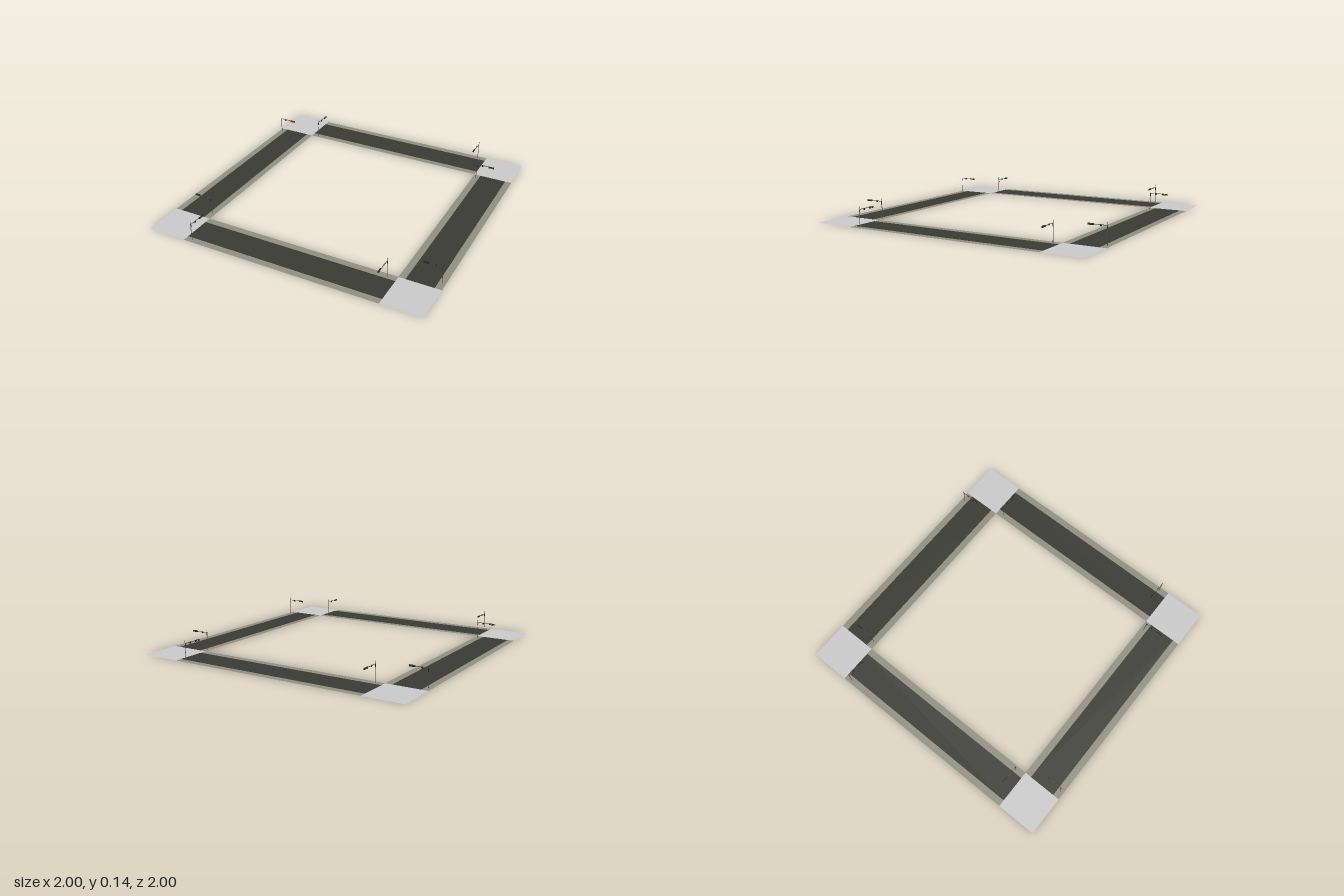
import * as THREE from 'three';

const flat = (name, color) => new THREE.MeshStandardMaterial({ name, color, side: THREE.DoubleSide });

export function createModel() {
  const mats = {
    asphalt: flat('asphalt', 0x3a3a34),
    pavement: flat('pavement', 0x8f9081),
    concrete: flat('concrete', 0xc9c9c9),
    pole: flat('pole metal', 0x4a4a46),
    housing: flat('signal housing', 0x1c1c1a),
    red: flat('red lens', 0xb03024),
    amber: flat('amber lens', 0xc99a2a),
    green: flat('green lens', 0x2f9a4a),
  };
  const add = (parent, name, geo, mat, x = 0, y = 0, z = 0) => {
    const m = new THREE.Mesh(geo, mats[mat]);
    m.name = name;
    m.position.set(x, y, z);
    parent.add(m);
    return m;
  };
  const plane = (w, d) => new THREE.PlaneGeometry(w, d).rotateX(-Math.PI / 2);

  const INNER = 0.714, MID = 0.857, WIDTH = 0.286, ROAD = 0.192;
  const WALK = (WIDTH - ROAD) / 2;

  // Signal mast: pole at the origin, arm along +x, lenses facing +z
  const signal = () => {
    const g = new THREE.Group();
    g.name = 'trafficSignal';
    add(g, 'pole', new THREE.CylinderGeometry(0.0015, 0.002, 0.14, 8), 'pole', 0, 0.07, 0);
    add(g, 'arm', new THREE.BoxGeometry(0.13, 0.003, 0.003), 'pole', 0.065, 0.12, 0);
    add(g, 'controlBox', new THREE.BoxGeometry(0.004, 0.018, 0.005), 'housing', 0.002, 0.108, 0);
    add(g, 'roundSign', new THREE.CylinderGeometry(0.007, 0.007, 0.002, 16).rotateX(Math.PI / 2),
      'housing', 0.045, 0.117, 0.003);
    add(g, 'signalHousing', new THREE.BoxGeometry(0.04, 0.011, 0.006), 'housing', 0.112, 0.118, 0.003);
    ['red', 'amber', 'green'].forEach((c, i) =>
      add(g, c + 'Lens', new THREE.CircleGeometry(0.004, 12), c, 0.1 + i * 0.012, 0.118, 0.0065));
    return g;
  };

  // Road segment running along z, with pavements and two signal masts
  const road = () => {
    const g = new THREE.Group();
    g.name = 'roadSegment';
    add(g, 'roadway', plane(ROAD, INNER * 2), 'asphalt');
    for (const s of [-1, 1]) {
      add(g, 'pavement', plane(WALK, INNER * 2), 'pavement', s * (ROAD + WALK) / 2);
      const mast = signal();
      mast.position.set(s * 0.118, 0, s < 0 ? -0.663 : 0.648);
      mast.rotation.y = s < 0 ? 0 : Math.PI;
      g.add(mast);
    }
    return g;
  };

  const model = new THREE.Group();
  model.name = 'roadBlock';
  for (const s of [-1, 1]) {
    // Side roads, then front and back roads turned a quarter
    const side = road();
    side.position.x = s * MID;
    const cross = road();
    cross.position.z = s * MID;
    cross.rotation.y = Math.PI / 2;
    model.add(side, cross);
    // Corner junctions
    for (const t of [-1, 1]) add(model, 'junction', plane(WIDTH, WIDTH), 'concrete', s * MID, 0, t * MID);
  }
  return model;
}
